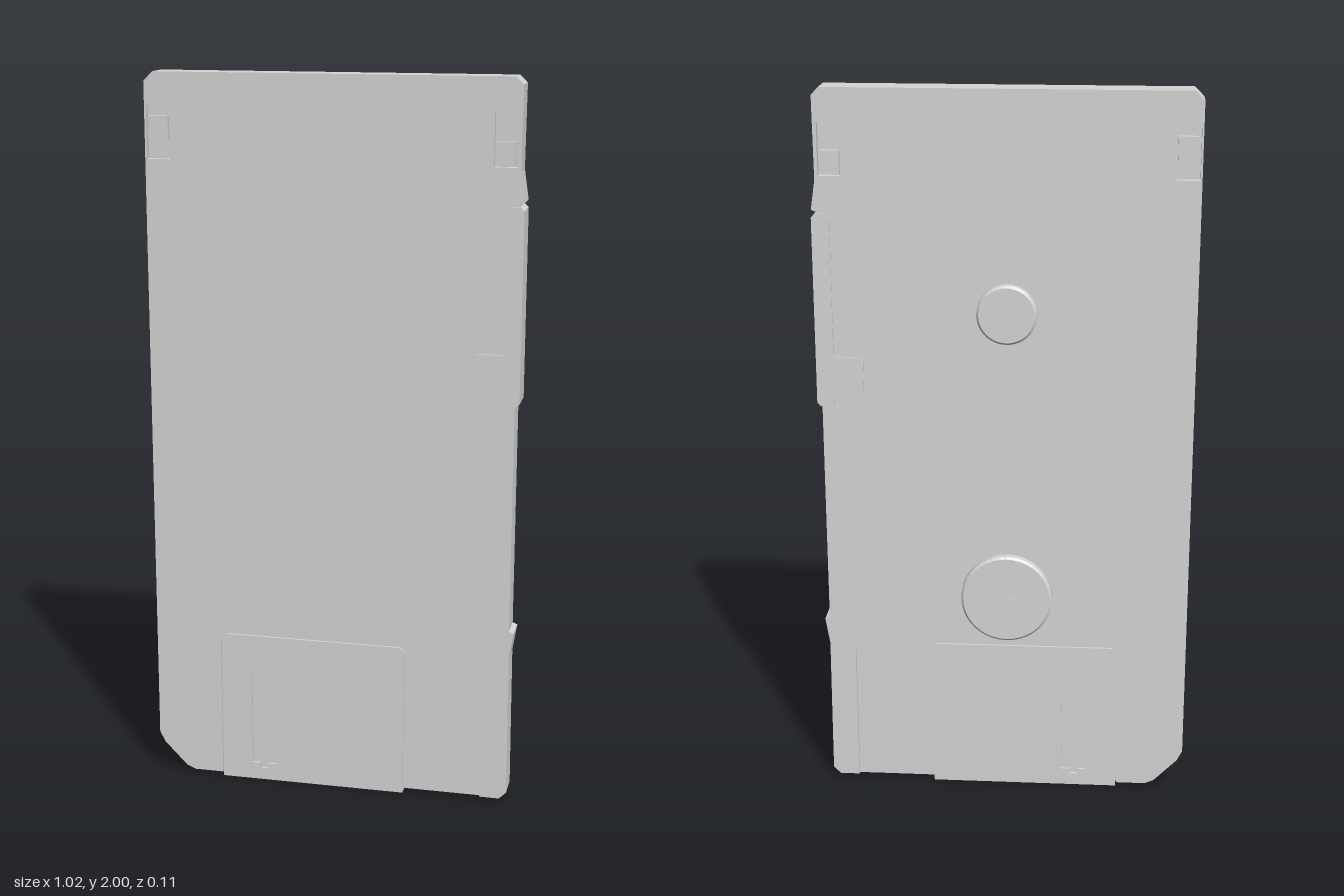
import * as THREE from 'three';

const BACK = -0.031, FRONT = 0.046, SKIN = 0.009;

export function createModel() {
  const group = new THREE.Group();
  const plastic = new THREE.MeshStandardMaterial({ color: 0xd6d6d6 });
  plastic.name = 'lightGreyPlastic';

  const polygon = (points, Type = THREE.Shape) =>
    new Type(points.map(([x, y]) => new THREE.Vector2(x, y)));
  const rect = (x0, x1, y0, y1, Type) =>
    polygon([[x0, y0], [x1, y0], [x1, y1], [x0, y1]], Type);

  const add = (name, geometry) => {
    const mesh = new THREE.Mesh(geometry, plastic);
    mesh.name = name;
    group.add(mesh);
    return mesh;
  };
  // Flat slab of a shape between two depths
  const slab = (name, shape, z0, z1) => {
    const geometry = new THREE.ExtrudeGeometry(shape, { depth: z1 - z0, bevelEnabled: false, curveSegments: 6 });
    return add(name, geometry.translate(0, 0, z0));
  };

  // Case outline, with the two small teeth on the left edge
  const sides = [
    [0.48, 0.012], [0.5, 0.032], [0.498, 0.43], [0.51, 0.505], [0.497, 0.51],
    [0.497, 1.675], [0.51, 1.68], [0.498, 1.76], [0.5, 1.98], [0.48, 2],
    [-0.485, 2], [-0.51, 1.975], [-0.51, 0.12], [-0.495, 0.09], [-0.43, 0.023], [-0.405, 0.012],
  ];
  // Notch that clears the shutter track in the outer skins
  const track = [
    [-0.322, 0.012], [-0.322, 0.42], [-0.302, 0.44],
    [0.395, 0.44], [0.415, 0.43], [0.425, 0.41], [0.425, 0.012],
  ];
  const slots = [[-0.505, -0.441], [0.428, 0.489]];
  const withSlots = (shape) => {
    slots.forEach(([x0, x1]) => shape.holes.push(rect(x0, x1, 1.77, 1.91, THREE.Path)));
    return shape;
  };

  slab('caseCore', withSlots(polygon(sides)), BACK + SKIN, FRONT - SKIN);
  const skin = withSlots(polygon([...sides, ...track]));
  slab('frontSkin', skin, FRONT - SKIN, FRONT);
  slab('backSkin', skin, BACK, BACK + SKIN);

  // Write-protect slots: sunken floor and sliding tab
  slots.forEach(([x0, x1], i) => {
    const y = i === 0 ? 1.82 : 1.773;
    slab('slotFloor', rect(x0, x1, 1.77, 1.91), BACK + 0.018, FRONT - 0.018);
    slab('slidingTab', rect(x0 + 0.005, x1 - 0.005, y, y + 0.063), BACK + 0.003, FRONT - 0.003);
  });

  // Shutter: front and back plates with a long window, joined along the bottom
  const sx0 = -0.32, sx1 = 0.205, sTop = 0.436, r = 0.022;
  const plate = new THREE.Shape();
  plate.moveTo(sx0, 0);
  plate.lineTo(sx1, 0);
  plate.lineTo(sx1, sTop - r);
  plate.quadraticCurveTo(sx1, sTop, sx1 - r, sTop);
  plate.lineTo(sx0 + r, sTop);
  plate.quadraticCurveTo(sx0, sTop, sx0, sTop - r);
  plate.closePath();
  plate.holes.push(polygon([
    [-0.233, 0.05], [-0.21, 0.05], [-0.21, 0.035], [-0.188, 0.035],
    [-0.188, 0.05], [-0.163, 0.05], [-0.163, 0.33], [-0.233, 0.33],
  ], THREE.Path));
  slab('shutterFront', plate, FRONT - SKIN, FRONT - 0.002);
  slab('shutterBack', plate, BACK + 0.002, BACK + SKIN);
  slab('shutterFold', rect(sx0, sx1, 0, 0.012), BACK + SKIN, FRONT - SKIN);

  // Latch clipped over the left edge
  const latchFront = FRONT + 0.007, latchBack = BACK - 0.005;
  slab('edgeLatch', polygon([
    [0.464, 1.145], [0.5, 1.14], [0.51, 1.15], [0.51, 1.66], [0.5, 1.67], [0.47, 1.67], [0.462, 1.66],
    [0.462, 1.28], [0.392, 1.28], [0.382, 1.27], [0.382, 1.17], [0.464, 1.17],
  ]), latchBack, latchFront);
  const mark = polygon([[0.465, 1.55], [0.478, 1.515], [0.474, 1.55], [0.478, 1.585]]);
  slab('latchMarkFront', mark, latchFront, latchFront + 0.001);
  slab('latchMarkBack', mark, latchBack - 0.001, latchBack);

  // Round hubs on the back, with chamfered rims
  [[1.408, 0.081], [0.59, 0.127]].forEach(([y, radius]) => {
    const h = 0.024;
    const profile = [[radius, 0], [radius, h - 0.006], [radius - 0.006, h], [0, h]]
      .map(([a, b]) => new THREE.Vector2(a, b));
    const hub = add('backHub', new THREE.LatheGeometry(profile, 40).toNonIndexed());
    hub.geometry.computeVertexNormals();
    hub.rotation.x = -Math.PI / 2;
    hub.position.set(-0.006, y, BACK);
    const pin = add('hubMark', new THREE.BoxGeometry(0.04, 0.007, 0.002));
    pin.position.set(-0.006, y, BACK - h);
  });

  return group;
}
